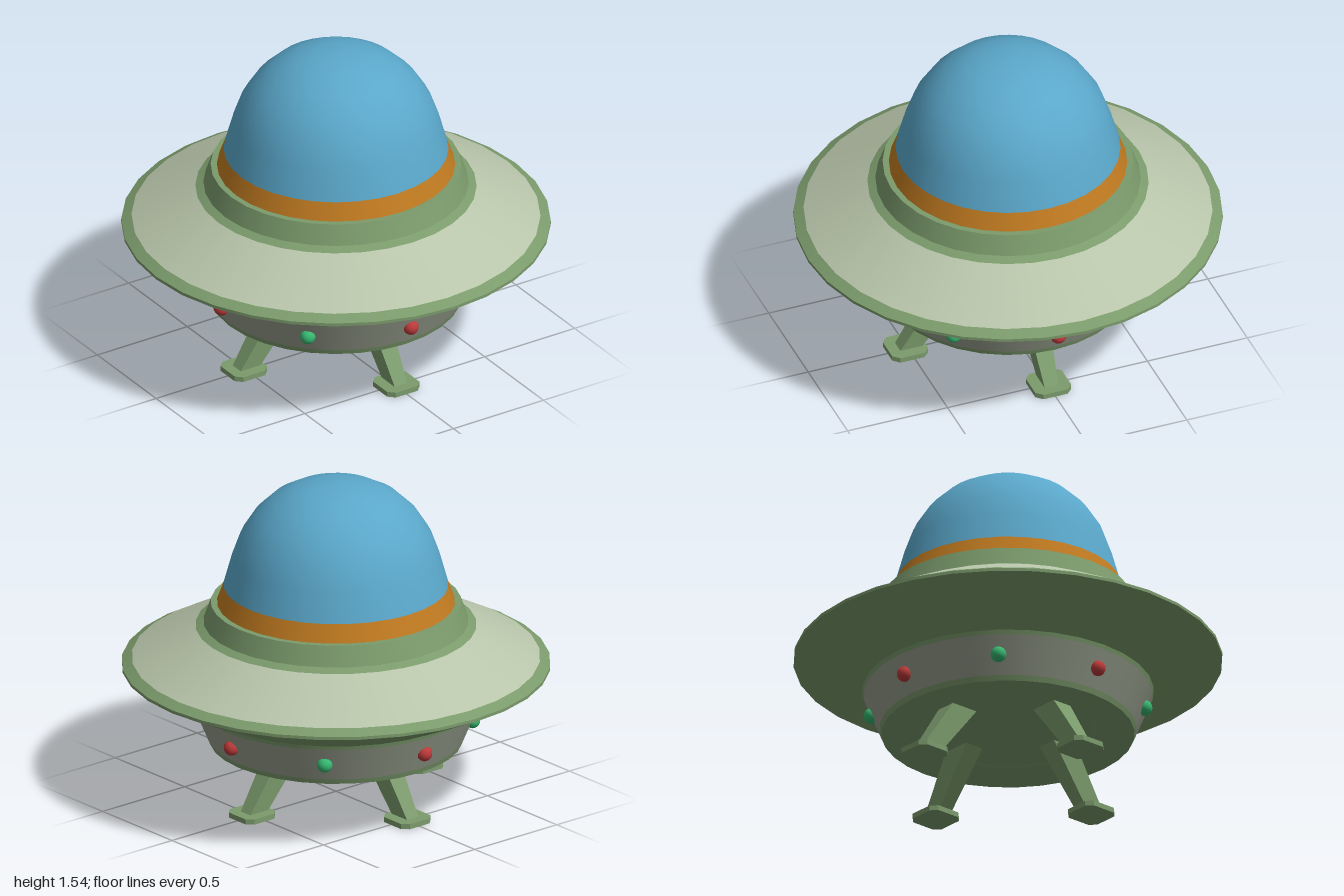
import * as THREE from 'three';

const paint = (name, color) => {
  const m = new THREE.MeshStandardMaterial({ color });
  m.name = name;
  return m;
};

export function createModel() {
  const green = paint('hull green', 0x7b9b6c);
  const pale = paint('pale green', 0xb8c5aa);
  const grey = paint('band grey', 0x959c8b);
  const orange = paint('orange', 0xc07a20);
  const blue = paint('dome blue', 0x5aa7ca);
  const red = paint('red lamp', 0xbc3a3a);
  const emerald = paint('green lamp', 0x36b870);

  const ship = new THREE.Group();
  ship.name = 'saucer';

  const add = (parent, name, geometry, material) => {
    const mesh = new THREE.Mesh(geometry, material);
    mesh.name = name;
    parent.add(mesh);
    return mesh;
  };

  // Rings of the hull, each a lathe running from bottom to top [radius, height]
  const rings = [
    ['bellyPlate', green, [[0, 0.285], [0.4, 0.285]]],
    ['bellyRim', green, [[0.4, 0.285], [0.42, 0.273], [0.59, 0.26]]],
    ['bandEdge', green, [[0.59, 0.26], [0.6, 0.285]]],
    ['lampBand', grey, [[0.6, 0.285], [0.673, 0.46]]],
    ['bandTop', green, [[0.673, 0.46], [0.68, 0.48]]],
    ['saucerUnderside', green, [[0.68, 0.48], [1, 0.633]]],
    ['saucerEdge', green, [[1, 0.633], [1, 0.648]]],
    ['saucerRim', green, [[1, 0.648], [0.952, 0.674]]],
    ['saucerTop', pale, [[0.952, 0.674], [0.655, 0.831]]],
    ['collarFoot', green, [[0.655, 0.831], [0.618, 0.85]]],
    ['collar', green, [[0.618, 0.85], [0.584, 0.945]]],
    ['collarTop', green, [[0.584, 0.945], [0.5, 0.945]]],
    ['domeBand', orange, [[0.555, 0.945], [0.524, 1.03]]],
    ['dome', blue, [[0.524, 1.03], [0.485, 1.17], [0.445, 1.28], [0.38, 1.38],
      [0.295, 1.46], [0.2, 1.51], [0.1, 1.535], [0, 1.54]]],
  ];
  for (const [name, material, profile] of rings) {
    const points = profile.map(([r, y]) => new THREE.Vector2(r, y));
    add(ship, name, new THREE.LatheGeometry(points, 32), material);
  }

  // Eight lamps, red on the axes and green between
  const lampGeometry = new THREE.SphereGeometry(0.037, 14, 10);
  for (let i = 0; i < 8; i++) {
    const a = (i * Math.PI) / 4;
    const lamp = add(ship, i % 2 ? 'greenLamp' : 'redLamp', lampGeometry, i % 2 ? emerald : red);
    lamp.position.set(0.637 * Math.sin(a), 0.373, 0.637 * Math.cos(a));
  }

  // Tapered strut leaning outward along +z
  const strut = new THREE.BoxGeometry(1, 1, 1);
  const p = strut.attributes.position;
  for (let i = 0; i < p.count; i++) {
    const top = p.getY(i) > 0;
    const outer = p.getZ(i) > 0;
    const half = top ? 0.052 : 0.034;
    p.setXYZ(i, Math.sign(p.getX(i)) * half, top ? 0.3 : 0.02,
      top ? (outer ? 0.374 : 0.227) : (outer ? 0.555 : 0.445));
  }
  strut.computeVertexNormals();

  // Square foot with cut corners
  const h = 0.09, c = 0.06;
  const outline = [[h, -c], [h, c], [c, h], [-c, h], [-h, c], [-h, -c], [-c, -h], [c, -h]];
  const pad = new THREE.ExtrudeGeometry(
    new THREE.Shape(outline.map(([x, y]) => new THREE.Vector2(x, y))),
    { depth: 0.025, bevelEnabled: false });
  pad.rotateX(-Math.PI / 2);
  pad.translate(0, 0, 0.513);

  for (let i = 0; i < 4; i++) {
    const leg = new THREE.Group();
    leg.name = 'leg';
    add(leg, 'strut', strut, green);
    add(leg, 'foot', pad, green);
    leg.rotation.y = (i * Math.PI) / 2;
    ship.add(leg);
  }
  return ship;
}
